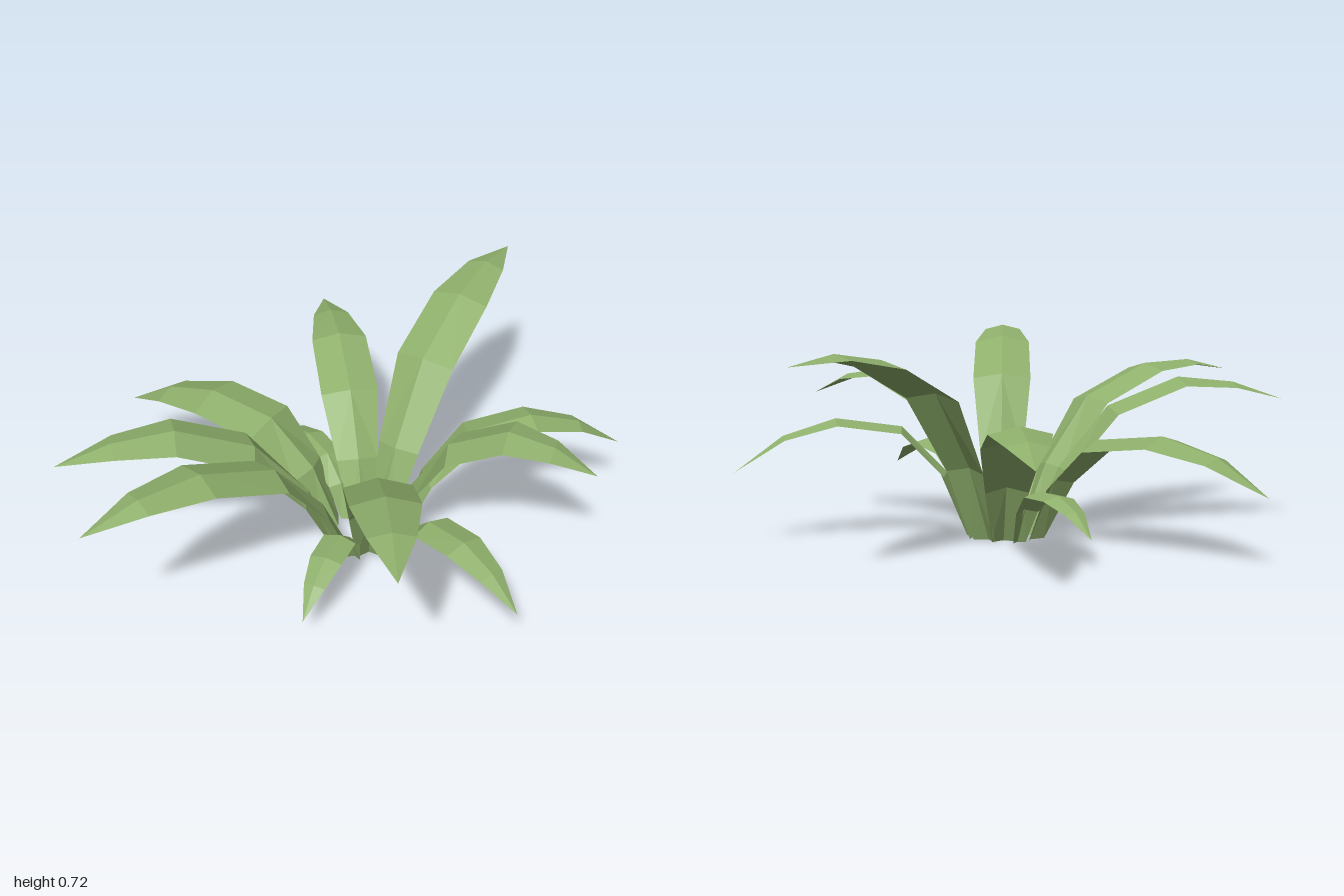
import * as THREE from 'three';

const CENTRE = new THREE.Vector3(0.12, 0, 0.06);

// per row, base to tip: share of length, half-width, fold depth
const REACH = [0, 0.115, 0.305, 0.58, 0.8, 1];
const WIDTH = [0.42, 0.72, 1, 0.97, 0.64, 0];
const FOLD = [0.27, 0.27, 0.25, 0.24, 0.16, 0];

// tip x, tip y, tip z, peak height, full width, base distance from centre
const LEAVES = [
  [0.235, 0.68, -1.0, 0.707, 0.22, 0.08],
  [0.85, 0.26, -0.52, 0.44, 0.16, 0.1],
  [0.89, 0.49, 0, 0.59, 0.2, 0.06],
  [0.78, 0.18, 0.39, 0.305, 0.15, 0.13],
  [0.585, 0.7, 0.93, 0.72, 0.22, 0.08],
  [0.14, 0.09, 0.62, 0.21, 0.115, 0.11],
  [-0.39, 0.555, 1.0, 0.61, 0.21, 0.08],
  [-0.72, 0.48, 0.675, 0.567, 0.22, 0.1],
  [-0.9, 0.24, -0.05, 0.41, 0.245, 0.12],
  [-0.445, 0.4, -0.775, 0.477, 0.21, 0.08],
  [-0.39, 0.1, -0.275, 0.21, 0.12, 0.12],
];

// Midrib heights: the more a leaf droops at the tip, the earlier it arches over
function ribHeights(tipY, peak) {
  const droop = 1 - tipY / peak;
  return [
    0,
    0.37 + 0.43 * droop,
    0.76 + 0.4 * droop,
    Math.min(1, 0.94 + 0.4 * droop),
    1 - 0.36 * Math.max(0, droop - 0.05),
    1 - droop,
  ].map((h) => h * peak);
}

// A leaf is a strip folded along its midrib, edges hanging below the ridge
function leafGeometry([tipX, tipY, tipZ, peak, width, base]) {
  const out = new THREE.Vector3(tipX, 0, tipZ).sub(CENTRE);
  const length = out.length();
  out.normalize();
  const up = new THREE.Vector3(0, 1, 0);
  const side = new THREE.Vector3().crossVectors(up, out);
  const half = width / 2;

  const heights = ribHeights(tipY, peak);
  const ribs = REACH.map((t, i) => CENTRE.clone()
    .addScaledVector(out, base + (length - base) * t)
    .addScaledVector(up, heights[i]));

  const rows = ribs.map((ridge, i) => {
    const along = ribs[Math.min(i + 1, 5)].clone().sub(ribs[Math.max(i - 1, 0)]).normalize();
    const below = new THREE.Vector3().crossVectors(side, along);
    const edge = ridge.clone().addScaledVector(below, FOLD[i] * half);
    edge.y = Math.max(edge.y, 0);
    return {
      ridge,
      left: edge.clone().addScaledVector(side, WIDTH[i] * half),
      right: edge.clone().addScaledVector(side, -WIDTH[i] * half),
    };
  });

  const points = [];
  for (let i = 0; i < rows.length - 1; i++) {
    const a = rows[i];
    const b = rows[i + 1];
    points.push(a.ridge, b.ridge, a.left, a.ridge, a.right, b.ridge);
    // the last row is a single point, so it needs no second pair
    if (i < rows.length - 2) {
      points.push(b.ridge, b.left, a.left, b.ridge, a.right, b.right);
    }
  }
  const geometry = new THREE.BufferGeometry().setFromPoints(points);
  geometry.computeVertexNormals();
  return geometry;
}

export function createModel() {
  const plant = new THREE.Group();
  plant.name = 'leafyPlant';
  const material = new THREE.MeshStandardMaterial({
    color: 0x8fb06c, flatShading: true, side: THREE.DoubleSide,
  });
  LEAVES.forEach((leaf, i) => {
    const mesh = new THREE.Mesh(leafGeometry(leaf), material);
    mesh.name = `leaf${i + 1}`;
    plant.add(mesh);
  });
  return plant;
}
